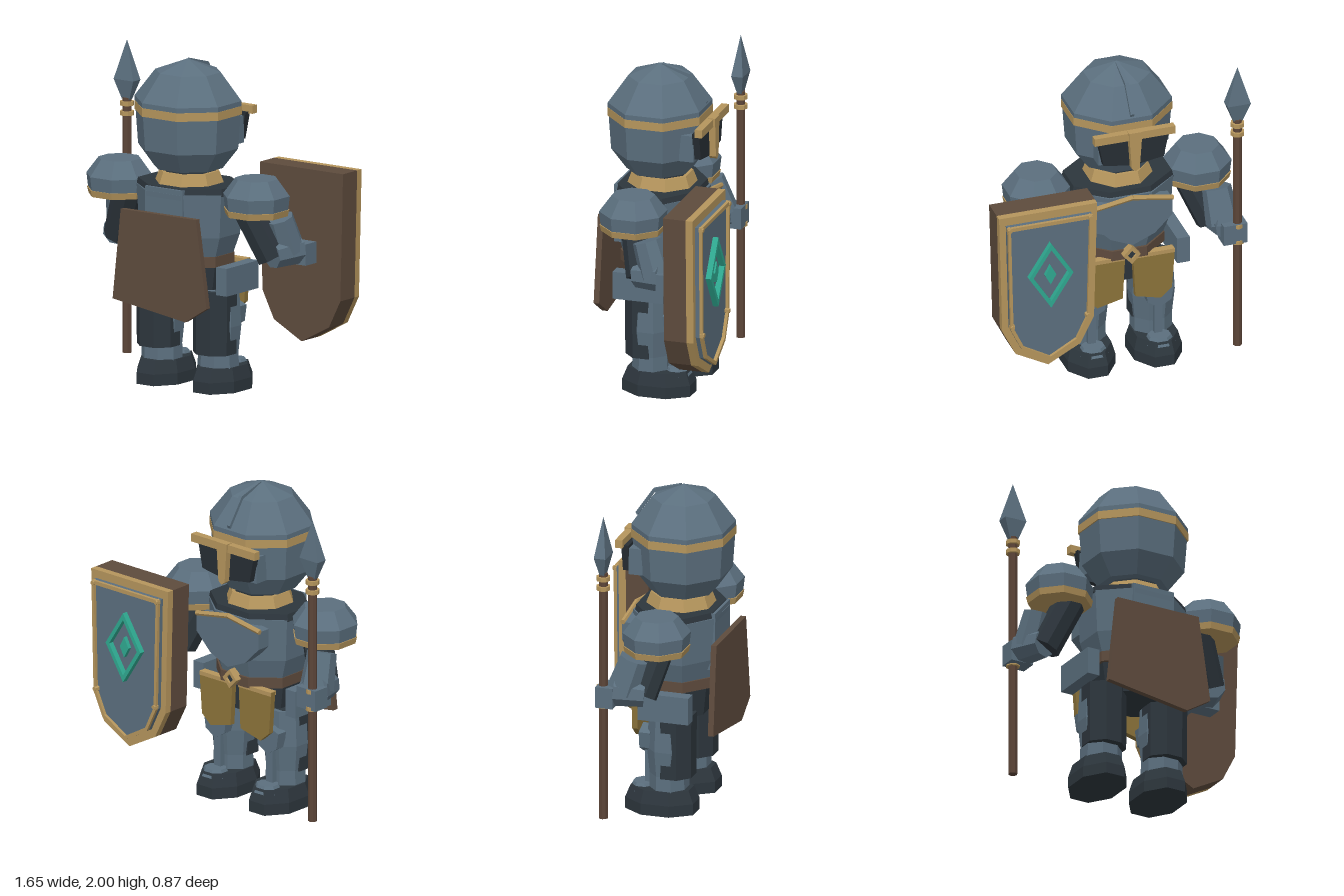
import * as THREE from 'three';

const paint = (name, color) => Object.assign(new THREE.MeshStandardMaterial({ color }), { name });

export function createModel() {
  const steel = paint('blue steel', 0x5b6f7e);
  const dark = paint('dark steel', 0x2d363d);
  const gold = paint('gold', 0xb5955c);
  const bronze = paint('dark bronze', 0x8c733a);
  const leather = paint('brown leather', 0x5e4b3d);
  const wood = paint('wood', 0x5c4538);
  const emerald = paint('emerald', 0x2fa890);
  const black = paint('visor black', 0x272e34);

  const model = new THREE.Group();
  model.name = 'knight';
  const body = new THREE.Group();
  body.name = 'body';
  body.position.x = -0.09;
  model.add(body);

  // Faceted mesh
  const add = (parent, name, geometry, material) => {
    const g = geometry.index ? geometry.toNonIndexed() : geometry;
    g.computeVertexNormals();
    const m = new THREE.Mesh(g, material);
    m.name = name;
    parent.add(m);
    return m;
  };

  // Octagonal turned solid: profile of [half width, y], closed at both ends
  const loft = (parent, name, mat, profile, x, z, depth = 1) => {
    const k = 1 / Math.cos(Math.PI / 8);
    const pts = [[0, profile[0][1]], ...profile, [0, profile[profile.length - 1][1]]]
      .map(([r, y]) => new THREE.Vector2(r * k, y));
    const g = new THREE.LatheGeometry(pts, 8, Math.PI / 8);
    g.scale(1, 1, depth);
    g.translate(x, 0, z);
    return add(parent, name, g, mat);
  };

  // Flat plate from an outline, between two depths
  const plate = (parent, name, mat, outline, z0, z1, hole) => {
    const shape = new THREE.Shape(outline.map(p => new THREE.Vector2(...p)));
    if (hole) shape.holes.push(new THREE.Path(hole.map(p => new THREE.Vector2(...p))));
    const g = new THREE.ExtrudeGeometry(shape, { depth: z1 - z0, bevelEnabled: false });
    g.translate(0, 0, z0);
    return add(parent, name, g, mat);
  };

  const box = (parent, name, mat, w, h, d, x, y, z) =>
    add(parent, name, new THREE.BoxGeometry(w, h, d).translate(x, y, z), mat);

  // Straight limb or bar between two points
  const rod = (parent, name, mat, a, b, r0, r1 = r0, sides = 8) => {
    const p = new THREE.Vector3(...a), q = new THREE.Vector3(...b);
    const m = add(parent, name, new THREE.CylinderGeometry(r1, r0, p.distanceTo(q), sides), mat);
    m.position.copy(p).add(q).multiplyScalar(0.5);
    m.quaternion.setFromUnitVectors(new THREE.Vector3(0, 1, 0), q.sub(p).normalize());
    return m;
  };

  const mirrored = half => [...half, ...half.filter(p => p[0] !== 0).reverse().map(([x, y]) => [-x, y])];
  const shrink = (pts, sx, sy, cy) => pts.map(([x, y]) => [x * sx, cy + (y - cy) * sy]);

  // Helmet
  loft(body, 'helmetJaw', steel, [[0.2, 1.34], [0.29, 1.465], [0.305, 1.68]], 0, 0.135, 0.93);
  loft(body, 'helmetBand', gold, [[0.312, 1.675], [0.312, 1.727]], 0, 0.135, 0.93);
  loft(body, 'helmetDome', steel, [[0.31, 1.725], [0.31, 1.757], [0.19, 1.925], [0.001, 2]], 0, 0.135, 0.93);
  const crest = [[0.12, 1.99], [-0.045, 1.93], [-0.155, 1.77], [-0.165, 1.79], [-0.055, 1.95], [0.12, 2]];
  const ridge = plate(body, 'helmetCrest', steel, crest.map(([z, y]) => [-z, y]), -0.012, 0.012);
  ridge.rotation.y = Math.PI / 2;

  // Visor
  box(body, 'faceBlock', steel, 0.42, 0.165, 0.09, 0, 1.547, -0.1);
  plate(body, 'visor', black, mirrored([[0, 1.45], [0.19, 1.48], [0.225, 1.65], [0, 1.65]]), -0.185, -0.14);
  box(body, 'browBar', gold, 0.51, 0.05, 0.045, 0, 1.665, -0.19);
  plate(body, 'noseGuard', gold, mirrored([[0, 1.43], [0.025, 1.45], [0.042, 1.695], [0, 1.695]]), -0.225, -0.18);

  // Neck and torso
  loft(body, 'neck', dark, [[0.15, 1.2], [0.15, 1.37]], 0, 0.12);
  loft(body, 'collar', gold, [[0.195, 1.25], [0.17, 1.32]], 0, 0.12);
  loft(body, 'chest', steel, [[0.25, 0.8], [0.3, 0.95], [0.315, 1.215]], 0, 0.12, 0.83);
  loft(body, 'shoulderYoke', dark, [[0.32, 1.205], [0.31, 1.25]], 0, 0.12, 0.78);
  box(body, 'backPlate', steel, 0.28, 0.36, 0.05, 0, 1.065, 0.355);
  const bust = mirrored([[0, 0.89], [0.14, 0.95], [0.25, 1.06], [0.25, 1.17], [0, 1.21]]);
  plate(body, 'breastplate', steel, bust, -0.17, -0.08);
  for (const s of [-1, 1])
    rod(body, 'breastplateTrim', gold, [0, 1.215, -0.165], [s * 0.255, 1.172, -0.165], 0.016, 0.016, 6);
  loft(body, 'belt', leather, [[0.265, 0.765], [0.265, 0.83]], 0, 0.12, 0.87);
  loft(body, 'pelvis', dark, [[0.22, 0.58], [0.25, 0.77]], 0, 0.125, 0.75);

  // Buckle
  const diamond = (rx, ry, y, x = 0) => [[x, y - ry], [x + rx, y], [x, y + ry], [x - rx, y]];
  plate(body, 'buckle', gold, diamond(0.055, 0.06, 0.81), -0.155, -0.1, diamond(0.028, 0.03, 0.81));
  plate(body, 'buckleCentre', dark, diamond(0.03, 0.032, 0.81), -0.14, -0.1);

  for (const s of [-1, 1]) {
    const at = (x, y, z) => [s * x, y, z];

    // Shoulders and arms
    loft(body, 'pauldron', steel, [[0.18, 1.14], [0.19, 1.23], [0.12, 1.33]], s * 0.51, 0.135);
    loft(body, 'pauldronBand', gold, [[0.178, 1.107], [0.187, 1.147]], s * 0.51, 0.135);
    rod(body, 'upperArm', dark, at(0.44, 1.14, 0.14), at(0.57, 0.84, 0.06), 0.095);
    rod(body, 'vambrace', steel, at(0.59, 1.08, 0.02), at(0.61, 0.87, -0.05), 0.09, 0.105);
    rod(body, 'gauntlet', steel, at(0.58, 0.86, 0.08), at(0.63, 0.88, -0.1), 0.085, 0.1);
    box(body, 'hand', steel, 0.15, 0.13, 0.11, s * 0.645, 0.85, -0.13);

    // Hip and front tassets
    box(body, 'hipPlate', steel, 0.08, 0.17, 0.32, s * 0.37, 0.705, 0.14);
    const skirt = [[0.025, 0.775], [0.29, 0.775], [0.27, 0.51], [0.2, 0.45], [0.04, 0.49]];
    const front = plate(body, 'frontTasset', bronze, skirt.map(([x, y]) => [s * x, y]), -0.11, -0.075);
    front.position.z = 0.01;
    box(body, 'tassetRim', gold, 0.26, 0.025, 0.05, s * 0.157, 0.765, -0.08);

    // Legs
    loft(body, 'rearThighGuard', dark, [[0.125, 0.23], [0.128, 0.62]], s * 0.21, 0.15, 0.94);
    loft(body, 'leg', steel, [[0.12, 0.14], [0.118, 0.24], [0.134, 0.4], [0.122, 0.62]], s * 0.21, 0.115, 0.92);
    plate(body, 'kneeGuard', steel,
      [[-0.09, 0.5], [0, 0.535], [0.09, 0.5], [0.075, 0.4], [0, 0.355], [-0.075, 0.4]],
      -0.05, 0.02).position.x = s * 0.21;
    box(body, 'shinRidge', steel, 0.05, 0.2, 0.04, s * 0.21, 0.27, -0.01);
    loft(body, 'boot', dark, [[0.15, 0], [0.15, 0.07], [0.128, 0.15]], s * 0.21, 0.07, 1.43);
    loft(body, 'toeCap', steel, [[0.09, 0.12], [0.065, 0.168]], s * 0.21, -0.045, 0.9);
  }

  // Cape
  plate(model, 'cape', leather,
    [[-0.37, 1.095], [0.19, 1.095], [0.27, 0.56], [0.11, 0.46], [-0.43, 0.54]], 0.4, 0.435);

  // Spear
  const spear = new THREE.Group();
  spear.name = 'spear';
  spear.position.set(-0.757, 0, -0.15);
  model.add(spear);
  rod(spear, 'shaft', wood, [0, 0.07, 0], [0, 1.63, 0], 0.028);
  for (const y of [0.79, 0.9, 1.535, 1.595])
    rod(spear, 'ring', gold, [0, y - 0.013, 0], [0, y + 0.013, 0], 0.043);
  const blade = new THREE.LatheGeometry(
    [[0, 1.61], [0.028, 1.62], [0.073, 1.74], [0, 1.985]].map(([r, y]) => new THREE.Vector2(r * Math.SQRT2, y)),
    4, Math.PI / 4);
  add(spear, 'blade', blade.scale(1, 1, 0.5), steel);

  // Shield
  const shield = new THREE.Group();
  shield.name = 'shield';
  shield.position.x = 0.515;
  model.add(shield);
  const rim = mirrored([[0, 0.29], [0.205, 0.4], [0.29, 0.57], [0.31, 1.35]]);
  const face = shrink(rim, 0.865, 0.9, 0.825);
  plate(shield, 'shieldBack', leather, rim, -0.33, -0.188);
  plate(shield, 'shieldRim', gold, rim, -0.375, -0.33);
  plate(shield, 'shieldFace', steel, face, -0.4, -0.37);
  plate(shield, 'shieldTrim', gold, face, -0.42, -0.4, shrink(face, 0.93, 0.95, 0.825));
  for (const [x, y] of face.filter(p => p[0] !== 0 && (p[1] > 1 || p[1] > 0.5)))
    rod(shield, 'rivet', gold, [x * 0.95, y - Math.sign(y - 0.8) * 0.015, -0.4], [x * 0.95, y - Math.sign(y - 0.8) * 0.015, -0.428], 0.02, 0.014, 6);
  plate(shield, 'emblemFrame', emerald, diamond(0.14, 0.22, 0.935), -0.435, -0.4, diamond(0.112, 0.176, 0.935));
  plate(shield, 'emblemGem', emerald, diamond(0.035, 0.065, 0.935), -0.425, -0.4);

  return model;
}
